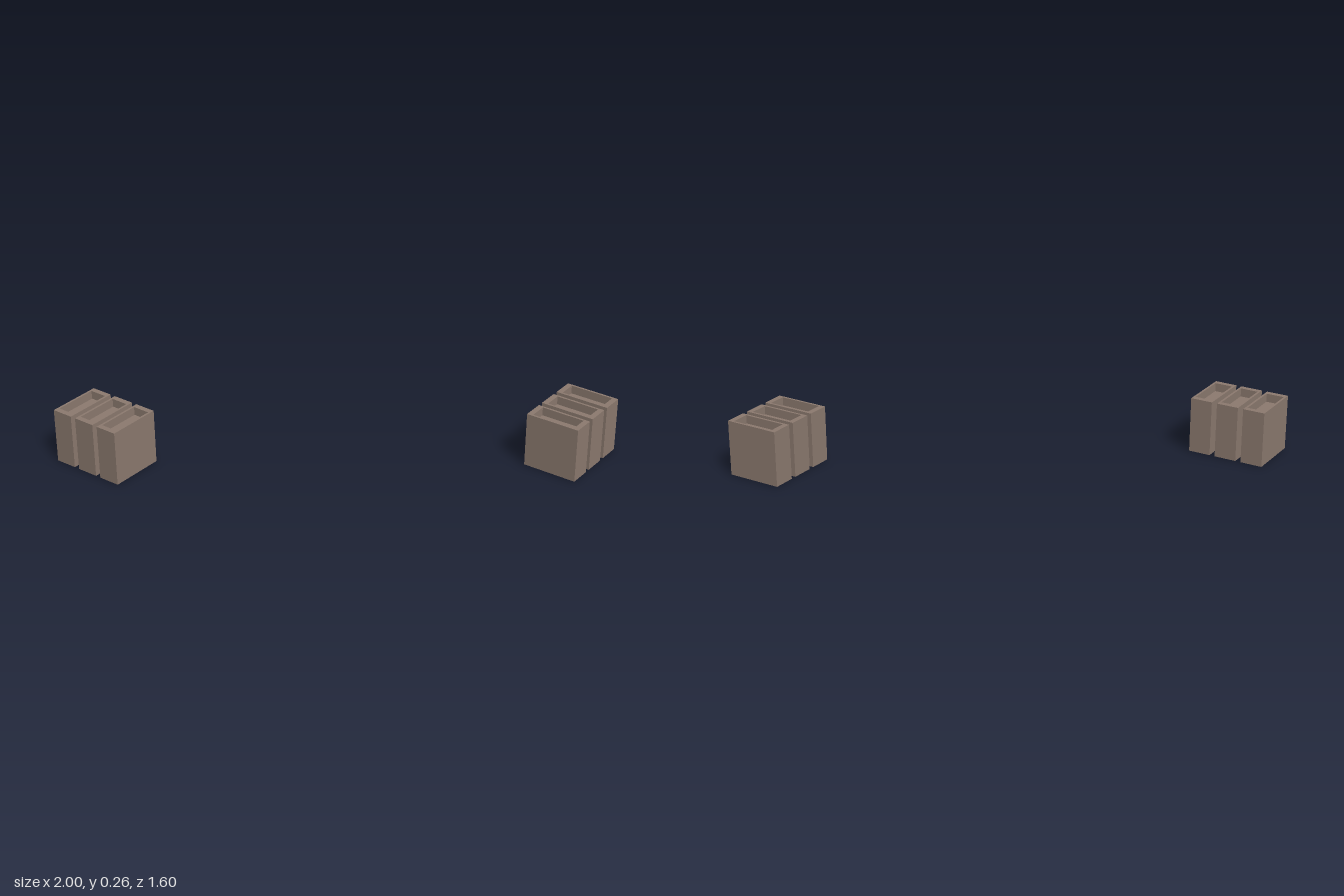
import * as THREE from 'three';

const WIDTH = 0.105, LENGTH = 0.262, HEIGHT = 0.262, PITCH = 0.131;
const INSET = 0.8, RECESS = 0.04;

const material = new THREE.MeshStandardMaterial({ color: 0x8d7b70 });

function rectangle(path, w, l) {
  path.moveTo(-w / 2, -l / 2);
  path.lineTo(w / 2, -l / 2);
  path.lineTo(w / 2, l / 2);
  path.lineTo(-w / 2, l / 2);
  path.closePath();
  return path;
}

// One upright block, long in z, with a shallow tray sunk into its top
function createBlock() {
  const block = new THREE.Group();
  block.name = 'block';

  const outline = rectangle(new THREE.Shape(), WIDTH, LENGTH);
  outline.holes.push(rectangle(new THREE.Path(), WIDTH * INSET, LENGTH * INSET));
  const shellGeometry = new THREE.ExtrudeGeometry(outline, { depth: HEIGHT, bevelEnabled: false });
  shellGeometry.rotateX(-Math.PI / 2);
  const shell = new THREE.Mesh(shellGeometry, material);
  shell.name = 'shell';

  const coreHeight = HEIGHT - RECESS;
  const core = new THREE.Mesh(
    new THREE.BoxGeometry(WIDTH * INSET, coreHeight, LENGTH * INSET), material);
  core.name = 'trayFloor';
  core.position.y = coreHeight / 2;

  block.add(shell, core);
  return block;
}

// Three blocks side by side along x
function createRow(name, x, z, turn) {
  const row = new THREE.Group();
  row.name = name;
  for (let i = -1; i <= 1; i++) {
    const block = createBlock();
    block.position.x = i * PITCH;
    row.add(block);
  }
  row.position.set(x, 0, z);
  row.rotation.y = turn;
  return row;
}

export function createModel() {
  const model = new THREE.Group();
  model.name = 'blockRows';
  model.add(
    createRow('frontRow', -0.816, 0.669, 0),
    createRow('backRow', 0.869, -0.617, Math.PI / 2));
  return model;
}
